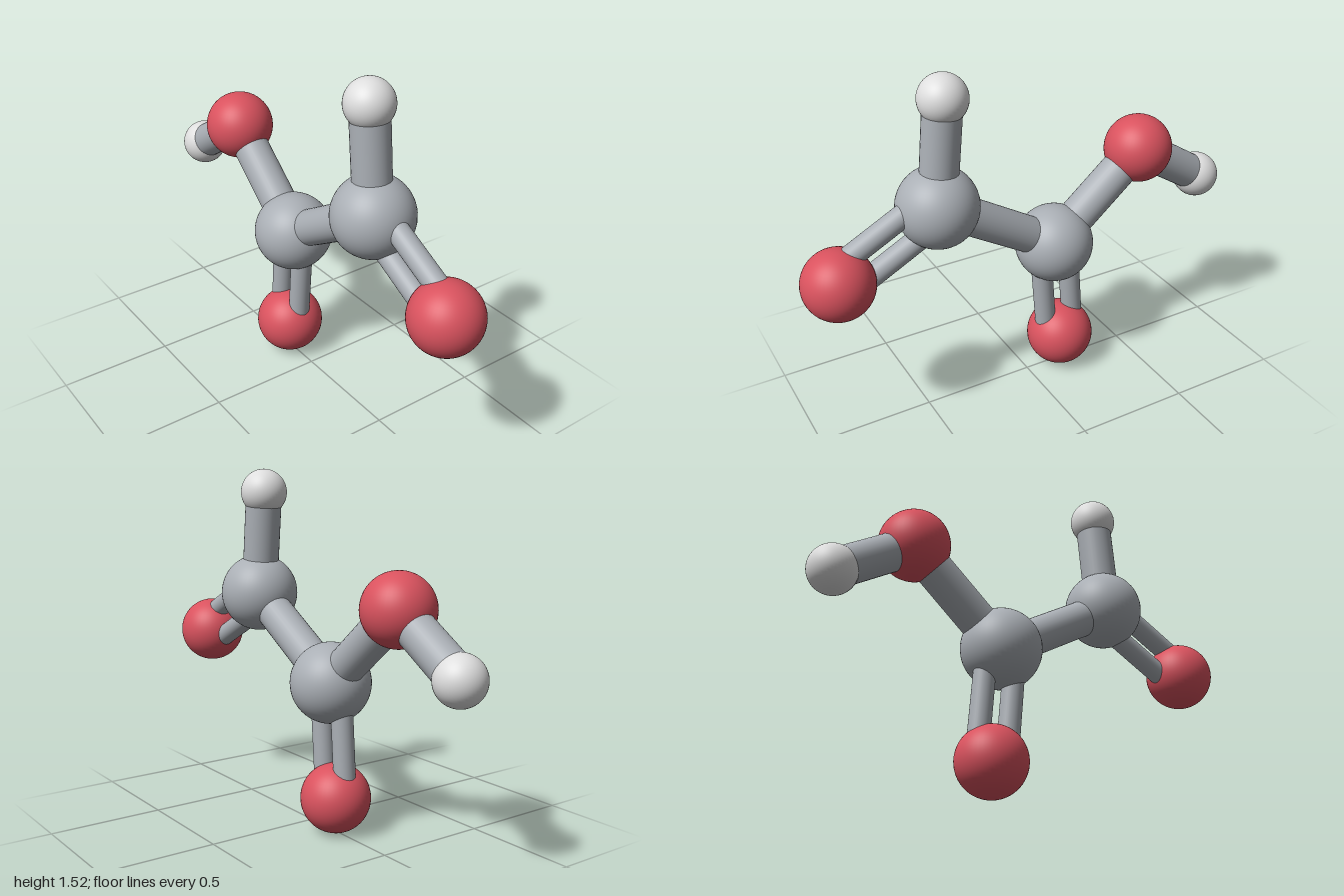
import * as THREE from 'three';

const grey = new THREE.MeshStandardMaterial({ name: 'grey', color: 0xaaafb5 });
const red = new THREE.MeshStandardMaterial({ name: 'red', color: 0xd9525e });
const white = new THREE.MeshStandardMaterial({ name: 'white', color: 0xdedede });

// Atom kinds: radius and colour
const kinds = {
  carbon: [0.172, grey],
  oxygen: [0.15, red],
  hydrogen: [0.102, white],
};

// Atom positions; the molecule is flat in the plane z = 0
const atoms = {
  acidCarbon: ['carbon', -0.135, 0.645],
  aldehydeCarbon: ['carbon', 0.41, 0.97],
  acidOxygen: ['oxygen', -0.173, 0.153],
  aldehydeOxygen: ['oxygen', 0.848, 0.742],
  hydroxylOxygen: ['oxygen', -0.56, 1.002],
  hydroxylHydrogen: ['hydrogen', -0.898, 0.79],
  aldehydeHydrogen: ['hydrogen', 0.366, 1.422],
};

// Pairs of joined atoms and the number of rods between them
const bonds = [
  ['acidCarbon', 'aldehydeCarbon', 1],
  ['acidCarbon', 'hydroxylOxygen', 1],
  ['hydroxylOxygen', 'hydroxylHydrogen', 1],
  ['aldehydeCarbon', 'aldehydeHydrogen', 1],
  ['acidCarbon', 'acidOxygen', 2],
  ['aldehydeCarbon', 'aldehydeOxygen', 2],
];

const position = (name) => new THREE.Vector3(atoms[name][1], atoms[name][2], 0);

function rod(name, from, to, radius, offset) {
  const along = to.clone().sub(from);
  const length = along.length();
  along.normalize();
  const side = new THREE.Vector3(-along.y, along.x, 0);
  const mesh = new THREE.Mesh(new THREE.CylinderGeometry(radius, radius, length, 32), grey);
  mesh.name = name;
  mesh.position.copy(from).lerp(to, 0.5).addScaledVector(side, offset);
  mesh.quaternion.setFromUnitVectors(new THREE.Vector3(0, 1, 0), along);
  return mesh;
}

export function createModel() {
  const model = new THREE.Group();
  model.name = 'molecule';

  // Balls
  for (const [name, [kind]] of Object.entries(atoms)) {
    const [radius, material] = kinds[kind];
    const ball = new THREE.Mesh(new THREE.SphereGeometry(radius, 48, 32), material);
    ball.name = name;
    ball.position.copy(position(name));
    model.add(ball);
  }

  // Thick single rods, or two thin parallel rods
  for (const [a, b, count] of bonds) {
    const from = position(a), to = position(b);
    if (count === 1) {
      model.add(rod('singleBond', from, to, 0.08, 0));
    } else {
      for (const s of [-1, 1]) model.add(rod('doubleBondRod', from, to, 0.047, s * 0.069));
    }
  }
  return model;
}
